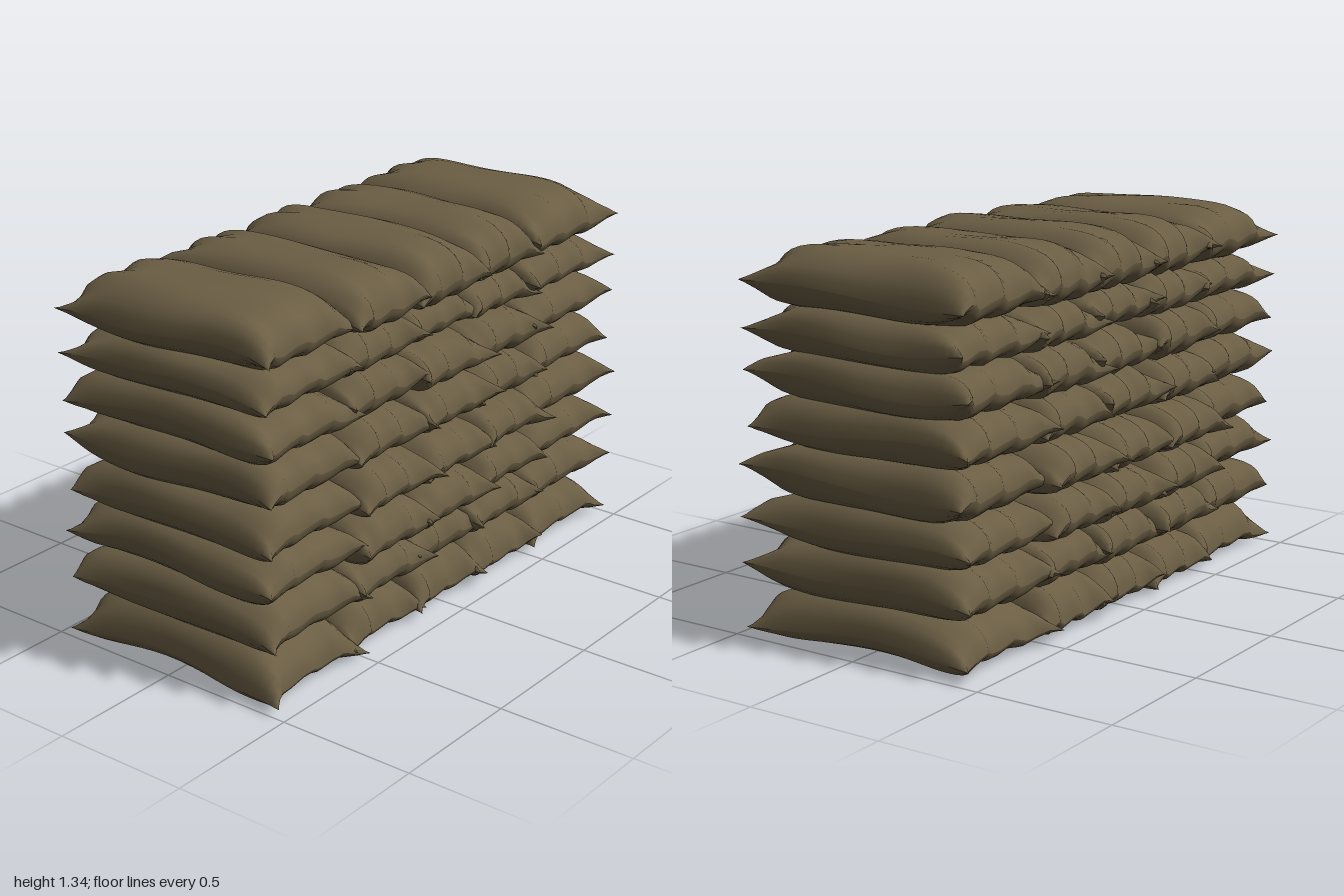
import * as THREE from 'three';
import { mergeGeometries } from 'three/addons/utils/BufferGeometryUtils.js';

// Repeatable random numbers
function seeded(seed) {
  return () => {
    seed = (seed * 16807) % 2147483647;
    return seed / 2147483647;
  };
}

// One filled sack: two sheets joined along a seam, with pinched corners and soft folds
function sackGeometry(o, rand) {
  const r = (a) => (rand() * 2 - 1) * a;
  const fold = [r(3), r(3), r(3), r(3), 4 + r(1.5), 3 + r(1)];
  const ears = [0, 1, 2, 3].map(() => 0.01 + rand() * 0.035);
  const seamY = o.seam + r(0.008);
  const sheets = [1, -1].map((side) => {
    const g = new THREE.PlaneGeometry(2, 2, 22, 14).rotateX(-Math.PI / 2);
    const p = g.attributes.position;
    for (let i = 0; i < p.count; i++) {
      const u = Math.sin(p.getX(i) * Math.PI / 2), v = Math.sin(p.getZ(i) * Math.PI / 2);
      // fullness is 0 on the seam and 1 in the middle
      const full = Math.sqrt(Math.max(0, (1 - Math.abs(u) ** 5) * (1 - Math.abs(v) ** o.power)));
      const corner = Math.abs(u * v) ** 10;
      const ear = ears[(u > 0 ? 1 : 0) + (v > 0 ? 2 : 0)] * corner;
      // creases grow toward the tied ends
      const crease = Math.sin(fold[4] * v + fold[0] + 2 * u) * Math.sin(fold[5] * u + fold[1]);
      const pleat = Math.sin(9 * v + fold[2] + fold[3] * u) * Math.abs(u) ** 3;
      const height = side > 0 ? o.top - seamY : seamY - o.bottom;
      const x = u * (o.halfX - 0.02 * (1 - v * v)) + Math.sign(u) * ear + 0.012 * pleat * u;
      const z = o.z + v * (o.halfZ - 0.012 * (1 - Math.abs(u) ** 4))
        + Math.sign(v) * ear * 0.4 + 0.008 * Math.sin(4 * u + fold[0]) * Math.abs(v);
      const y = seamY + side * height * full * (1 + 0.05 * crease)
        + 0.016 * pleat + 0.014 * Math.sin(3.2 * u + fold[1]) * Math.abs(v) ** 3;
      p.setXYZ(i, x + o.x, Math.max(y, 0), z);
    }
    // the lower sheet faces down
    if (side < 0) {
      const idx = g.index.array;
      for (let i = 0; i < idx.length; i += 3) [idx[i], idx[i + 1]] = [idx[i + 1], idx[i]];
    }
    g.computeVertexNormals();
    return g;
  });
  return mergeGeometries(sheets);
}

export function createModel() {
  const model = new THREE.Group();
  model.name = 'sackWall';
  const burlap = new THREE.MeshStandardMaterial({ color: 0x6b5e44, side: THREE.DoubleSide });
  burlap.name = 'burlap';
  const rand = seeded(4711);

  const levels = [0, 0.17, 0.34, 0.5, 0.67, 0.83, 0.99, 1.13, 1.33];
  const reach = [0.44, 0.45, 0.48, 0.49, 0.465, 0.44, 0.42, 0.43];
  const bounds = [-0.96, -0.515, -0.17, 0.175, 0.525, 0.97];

  for (let row = 0; row < 8; row++) {
    const layer = new THREE.Group();
    layer.name = `layer${row + 1}`;
    for (let col = 0; col < 5; col++) {
      const outer = col === 0 || col === 4;
      const first = row === 0, last = row === 7;
      const wobble = outer ? 0.006 : 0.014;
      const shift = () => (rand() * 2 - 1) * wobble;
      const bottom = first ? 0 : levels[row] - 0.018 + shift();
      const top = levels[row + 1] + (last ? 0 : 0.018) + shift() * (last ? 0.5 : 1);
      const mesh = new THREE.Mesh(sackGeometry({
        x: shift(),
        z: (bounds[col] + bounds[col + 1]) / 2,
        halfX: (outer ? Math.min(reach[row], 0.435) : reach[row]) + shift(),
        halfZ: (bounds[col + 1] - bounds[col]) / 2 + 0.012,
        power: last ? 3 : 5,
        bottom, top,
        seam: first ? 0.05 : last ? 1.2 : (bottom + top) / 2 - 0.01,
      }, rand), burlap);
      mesh.name = `sack${row + 1}_${col + 1}`;
      layer.add(mesh);
    }
    model.add(layer);
  }
  return model;
}
